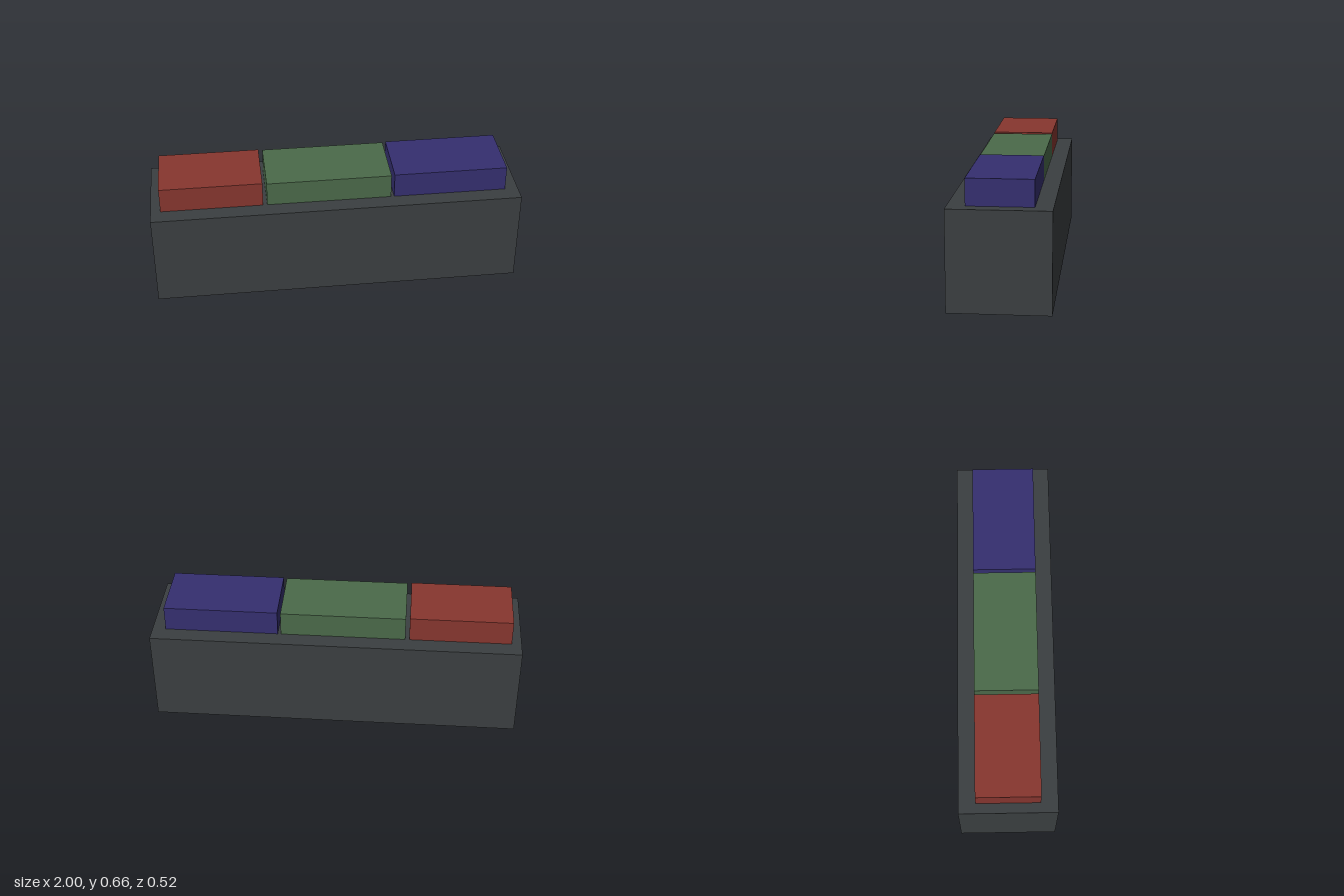
import * as THREE from 'three';

// Box spanning x0..x1 and y0..y1, centred on z = 0
function block(name, color, x0, x1, y0, y1, depth) {
  const geometry = new THREE.BoxGeometry(x1 - x0, y1 - y0, depth);
  const mesh = new THREE.Mesh(geometry, new THREE.MeshStandardMaterial({ color }));
  mesh.position.set((x0 + x1) / 2, (y0 + y1) / 2, 0);
  mesh.name = name;
  return mesh;
}

export function createModel() {
  const model = new THREE.Group();
  model.name = 'blockWithButtons';
  const top = 0.522;

  // Long dark body
  model.add(block('body', 0x3b3f41, -1, 1, 0, top, 0.522));

  // Three coloured buttons in a row, sunk slightly into the body
  const buttons = [
    ['redButton', 0x87362f, -0.947, -0.398, 0.66],
    ['greenButton', 0x4b6a4a, -0.376, 0.297, 0.656],
    ['blueButton', 0x352f70, 0.314, 0.928, 0.66],
  ];
  for (const [name, color, x0, x1, y1] of buttons) {
    model.add(block(name, color, x0, x1, top - 0.02, y1, 0.34));
  }
  return model;
}
